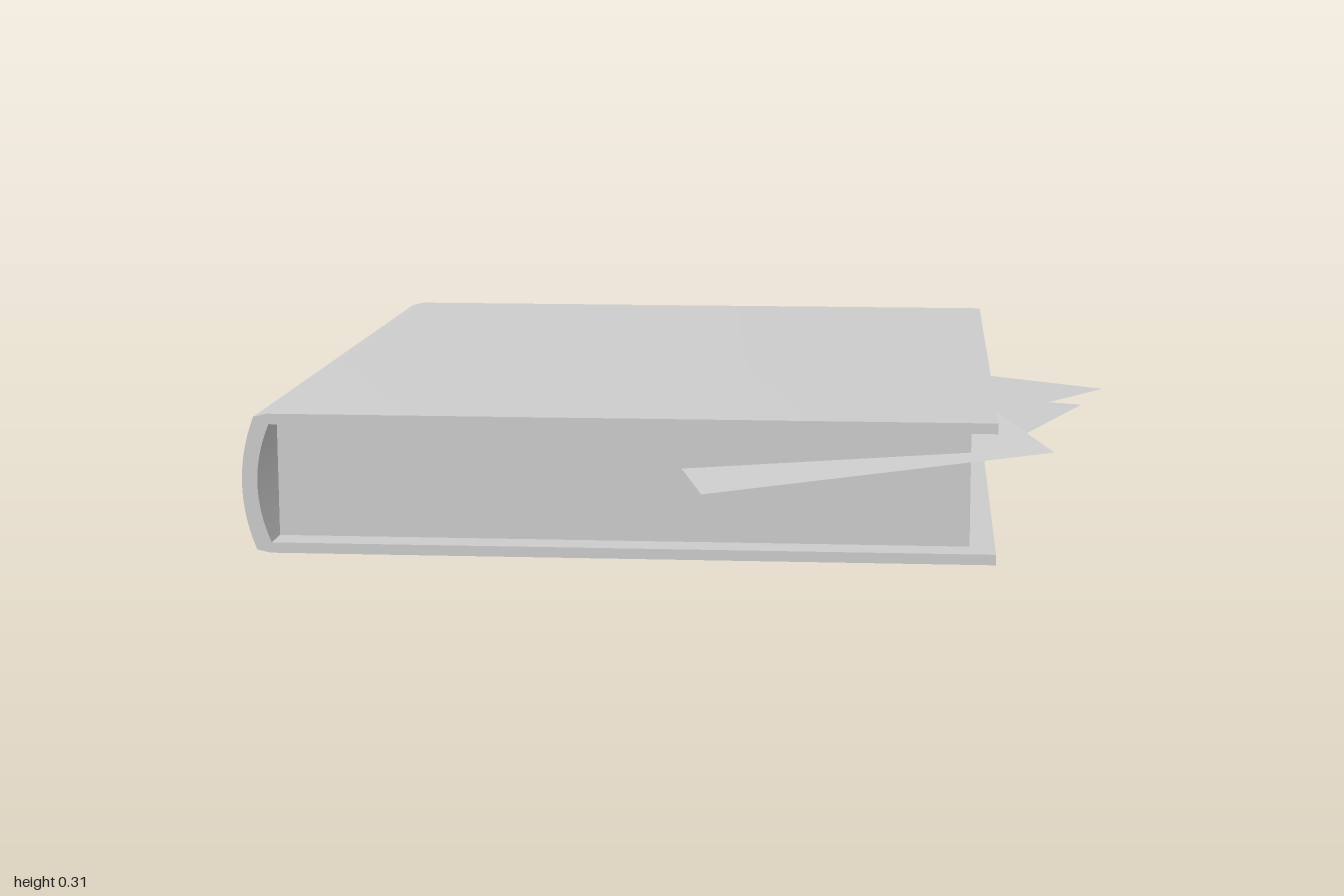
import * as THREE from 'three';
import { toCreasedNormals } from 'three/addons/utils/BufferGeometryUtils.js';

const H = 0.307, T = 0.023;          // book height, cover thickness
const BACK = -1, FRONT = 0.835;      // cover extent along z
const SHEET_W = 0.765, SHEET_L = 1.08;

export function createModel() {
  const group = new THREE.Group();
  const grey = new THREE.MeshStandardMaterial({ color: 0xcccccc });
  const paper = new THREE.MeshStandardMaterial({ color: 0xcccccc, side: THREE.DoubleSide });

  const add = (name, geometry, material = grey) => {
    const mesh = new THREE.Mesh(geometry, material);
    mesh.name = name;
    group.add(mesh);
    return mesh;
  };

  // Cover: two boards joined by a rounded spine, one C-shaped profile
  const profile = new THREE.Shape();
  profile.moveTo(0.67, 0);
  profile.lineTo(0.67, T);
  profile.lineTo(-0.897, T);
  profile.quadraticCurveTo(-0.953, H / 2, -0.897, H - T);
  profile.lineTo(0.67, H - T);
  profile.lineTo(0.67, H);
  profile.lineTo(-0.9, H);
  profile.lineTo(-0.93, H - 0.007);
  profile.quadraticCurveTo(-0.988, H / 2, -0.93, 0.007);
  profile.lineTo(-0.9, 0);
  const cover = new THREE.ExtrudeGeometry(profile, {
    depth: FRONT - BACK, bevelEnabled: false, curveSegments: 16,
  });
  cover.translate(0, 0, BACK);
  add('cover', toCreasedNormals(cover, 0.5));

  // Page block, set back from the cover edges
  const pages = add('pageBlock', new THREE.BoxGeometry(1.512, H - 2 * T, 1.68));
  pages.position.set(-0.141, H / 2, -0.08);

  // Loose sheets: outer corner, direction of the short edge, direction of the long edge
  const sheets = [
    { name: 'frontLooseSheet', corner: [0.79, 0.24, 0.8], short: [-0.74, -0.063, 0.195], long: [-0.255, 0.033, -0.967] },
    { name: 'upperLooseSheet', corner: [0.957, 0.217, -0.185], short: [-0.827, 0, -0.562], long: [-0.562, 0, 0.827] },
    { name: 'lowerLooseSheet', corner: [0.915, 0.155, -0.312], short: [-0.938, 0, -0.346], long: [-0.346, 0, 0.938] },
  ];
  for (const { name, corner, short, long } of sheets) {
    const c = new THREE.Vector3(...corner);
    const s = new THREE.Vector3(...short).setLength(SHEET_W);
    const l = new THREE.Vector3(...long).setLength(SHEET_L);
    // Keep the upper face pointing up
    const [u, v] = s.clone().cross(l).y > 0 ? [s, l] : [l, s];
    const geometry = new THREE.BufferGeometry().setFromPoints([
      c, c.clone().add(u), c.clone().add(u).add(v), c.clone().add(v),
    ]);
    geometry.setIndex([0, 1, 2, 0, 2, 3]);
    geometry.computeVertexNormals();
    add(name, geometry, paper);
  }

  return group;
}
